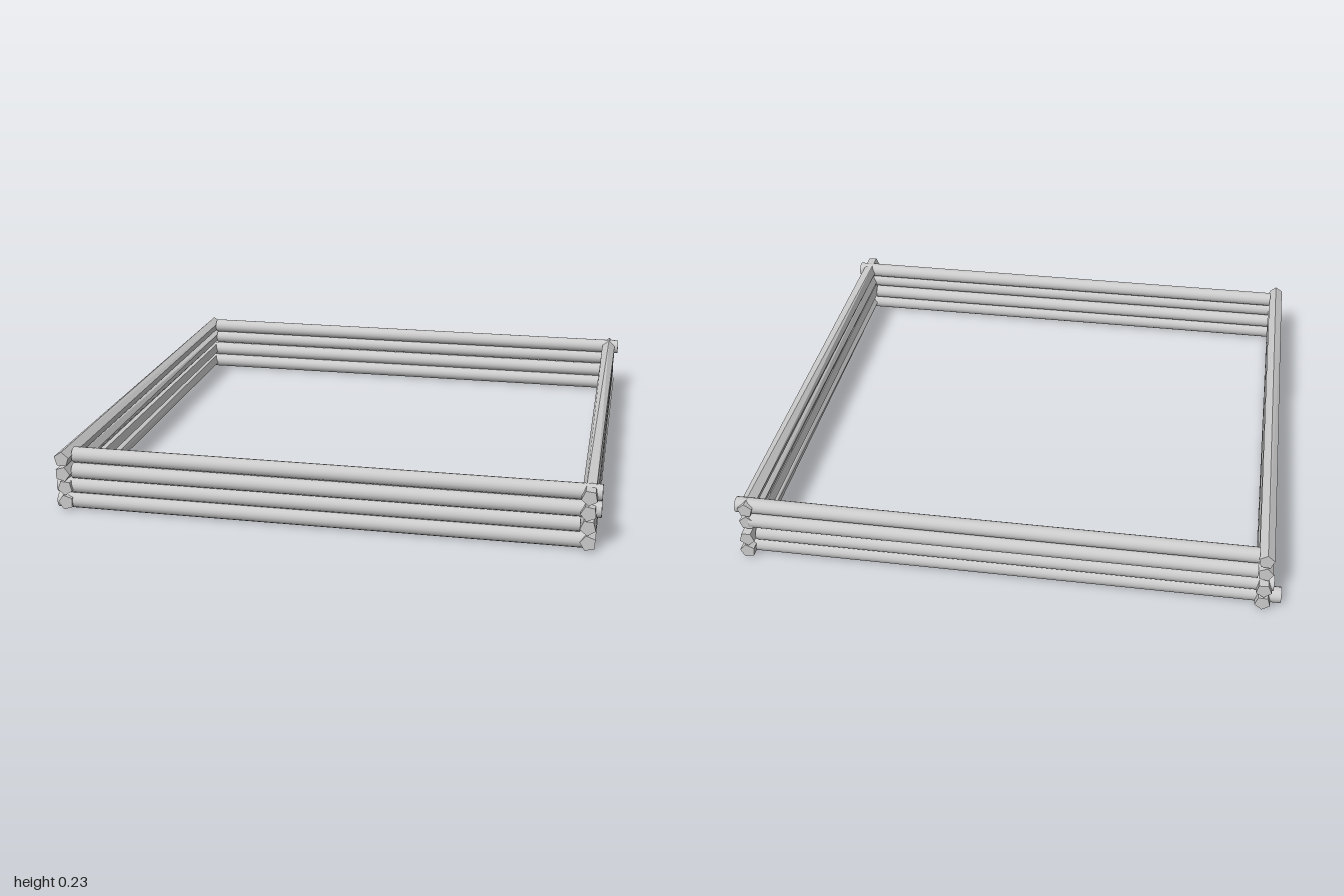
import * as THREE from 'three';

const RADIUS = 0.029;
const LAYERS = [0.029, 0.086, 0.145, 0.202];
const smooth = new THREE.MeshStandardMaterial({ color: 0xcccccc });
const faceted = new THREE.MeshStandardMaterial({ color: 0xcccccc, flatShading: true });

// Round log lying along x
function roundLog(name, x0, x1, y, z) {
  const geo = new THREE.CylinderGeometry(RADIUS, RADIUS, x1 - x0, 16);
  geo.rotateZ(Math.PI / 2);
  const log = new THREE.Mesh(geo, smooth);
  log.name = name;
  log.position.set((x0 + x1) / 2, y, z);
  return log;
}

// Five-sided log lying along z; one edge starts at `phase` degrees in front
// and the section turns by `twist` degrees towards the back
function hewnLog(name, x, y, z0, z1, phase, twist) {
  const length = z1 - z0;
  const geo = new THREE.CylinderGeometry(RADIUS, RADIUS, length, 5);
  geo.rotateX(Math.PI / 2);
  const pos = geo.attributes.position;
  const v = new THREE.Vector3();
  const axis = new THREE.Vector3(0, 0, 1);
  for (let i = 0; i < pos.count; i++) {
    v.fromBufferAttribute(pos, i);
    const turn = phase + 90 + twist * (0.5 - v.z / length);
    v.applyAxisAngle(axis, THREE.MathUtils.degToRad(turn));
    pos.setXYZ(i, v.x, v.y, v.z);
  }
  geo.computeVertexNormals();
  const log = new THREE.Mesh(geo, faceted);
  log.name = name;
  log.position.set(x, y, (z0 + z1) / 2);
  return log;
}

export function createModel() {
  const model = new THREE.Group();
  model.name = 'logFrame';

  // Per layer, bottom to top: [x start, x end, z]
  const frontLogs = [[-0.97, 0.95, 0.91], [-0.97, 0.93, 0.905], [-0.91, 1, 0.91], [-0.91, 1, 0.897]];
  const backLogs = [[-1, 0.95, -0.905], [-0.97, 0.93, -0.91], [-0.91, 0.95, -0.915], [-0.91, 1, -0.903]];
  // Per layer, bottom to top: [x, phase, twist]
  const rightLogs = [[0.96, -39, 45], [0.957, -22, 0], [0.957, -30, 45], [0.958, -24, 40]];
  const leftLogs = [[-0.935, 36, 20], [-0.935, 50, 0], [-0.935, 0, 30], [-0.935, 15, 8]];

  LAYERS.forEach((y, i) => {
    const [z0, z1] = i < 2 ? [-0.96, 0.945] : [-0.94, 0.96];
    const [fa, fb, fz] = frontLogs[i];
    const [ba, bb, bz] = backLogs[i];
    model.add(roundLog(`frontLog${i + 1}`, fa, fb, y, fz));
    model.add(roundLog(`backLog${i + 1}`, ba, bb, y, bz));
    const [rx, rp, rt] = rightLogs[i];
    const [lx, lp, lt] = leftLogs[i];
    model.add(hewnLog(`leftLog${i + 1}`, rx, y, z0, z1, rp, rt));
    model.add(hewnLog(`rightLog${i + 1}`, lx, y, z0, z1, lp, lt));
  });
  return model;
}
